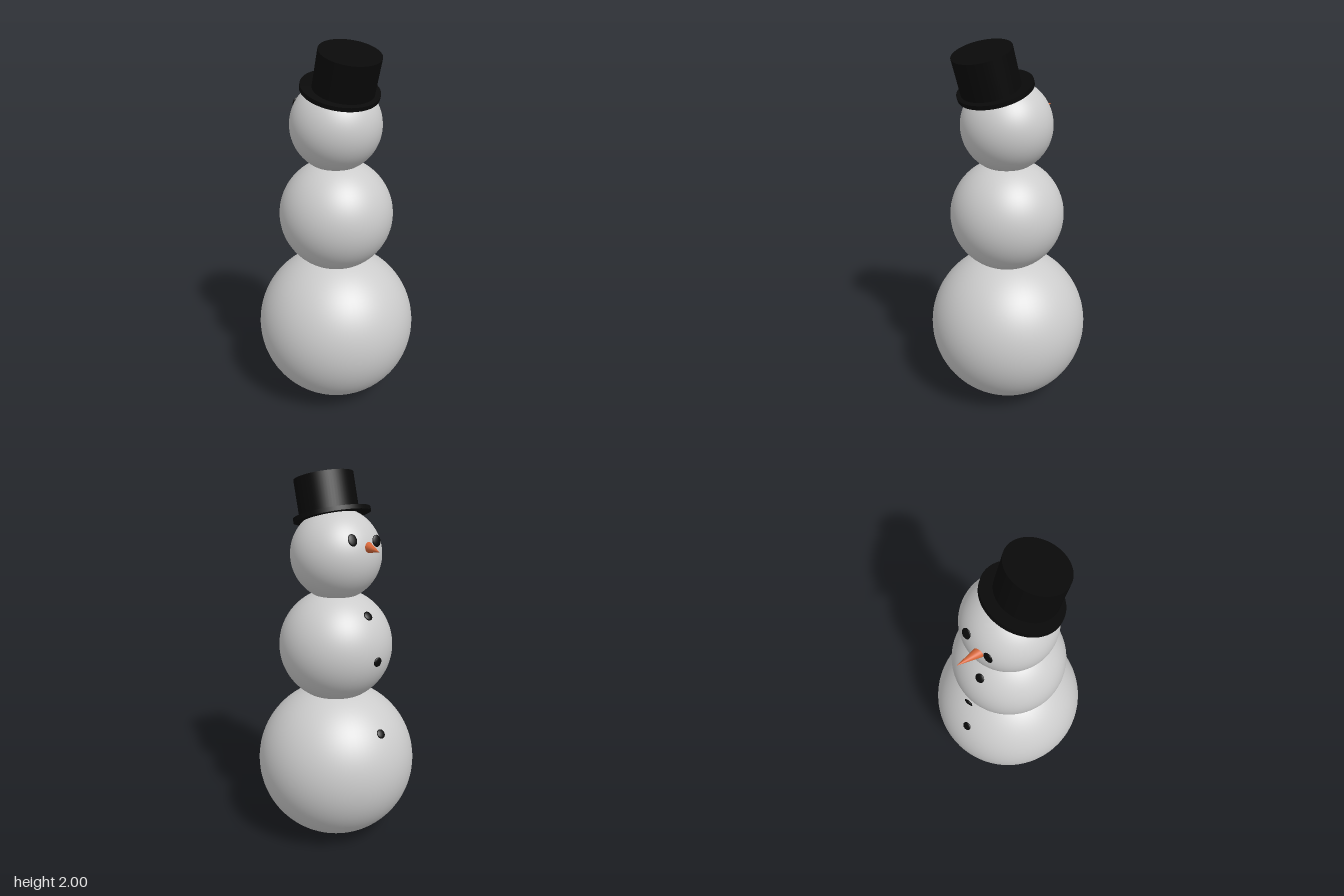
import * as THREE from 'three';

const snow = new THREE.MeshStandardMaterial({ color: 0xcccccc });
snow.name = 'snow';
const coal = new THREE.MeshStandardMaterial({ color: 0x090909 });
coal.name = 'coal black';
const carrot = new THREE.MeshStandardMaterial({ color: 0xd9683a });
carrot.name = 'carrot orange';

export function createModel() {
  const model = new THREE.Group();
  model.name = 'snowman';

  function add(name, geometry, material, x, y, z) {
    const mesh = new THREE.Mesh(geometry, material);
    mesh.name = name;
    mesh.position.set(x, y, z);
    model.add(mesh);
    return mesh;
  }

  // Three stacked snowballs
  const ball = (name, r, x, y, z) =>
    add(name, new THREE.SphereGeometry(r, 64, 48), snow, x, y, z);
  const base = ball('baseBall', 0.431, 0, 0.431, 0);
  const torso = ball('torsoBall', 0.303, -0.002, 1.09, 0.005);
  const head = ball('headBall', 0.238, -0.004, 1.575, 0.005);

  // Flattened coal lumps, with their thin axis along local z
  function lump(name, rx, ry, x, y, z) {
    const geometry = new THREE.SphereGeometry(1, 24, 16).scale(rx, ry, 0.008);
    return add(name, geometry, coal, x, y, z);
  }

  // Buttons lie against the snowball behind them
  [
    ['topButton', torso, 1.288, -0.225],
    ['middleButton', torso, 1.066, -0.313],
    ['lowerButton', base, 0.684, -0.352],
  ].forEach(([name, parent, y, z]) => {
    const button = lump(name, 0.025, 0.025, -0.046, y, z);
    button.lookAt(button.position.clone().multiplyScalar(2).sub(parent.position));
  });

  // Eyes, each leaning back a little
  lump('leftEye', 0.026, 0.031, 0.043, 1.676, -0.209).rotation.x = 0.4;
  lump('rightEye', 0.026, 0.03, -0.103, 1.661, -0.208).rotation.set(0.2, 0.1, 0);

  // Carrot nose, its base sunk into the head
  const noseBase = new THREE.Vector3(-0.049, 1.633, -0.205);
  const noseTip = new THREE.Vector3(-0.03, 1.628, -0.331);
  const noseAxis = noseTip.clone().sub(noseBase);
  const noseCentre = noseBase.clone().add(noseTip).multiplyScalar(0.5);
  const nose = add('carrotNose', new THREE.ConeGeometry(0.029, noseAxis.length(), 32),
    carrot, ...noseCentre.toArray());
  nose.quaternion.setFromUnitVectors(new THREE.Vector3(0, 1, 0), noseAxis.normalize());

  // Top hat tipped backwards, slightly oval, with the crown set back on the brim
  const brim = add('hatBrim', new THREE.CylinderGeometry(1, 1, 0.022, 64).scale(0.208, 1, 0.19),
    coal, -0.02, 1.766, 0.066);
  brim.rotation.x = 0.319;
  const crown = add('hatCrown', new THREE.CylinderGeometry(1, 1, 0.194, 64).scale(0.16, 1, 0.149),
    coal, -0.02, 1.864, 0.1205);
  crown.rotation.x = 0.288;

  return model;
}
